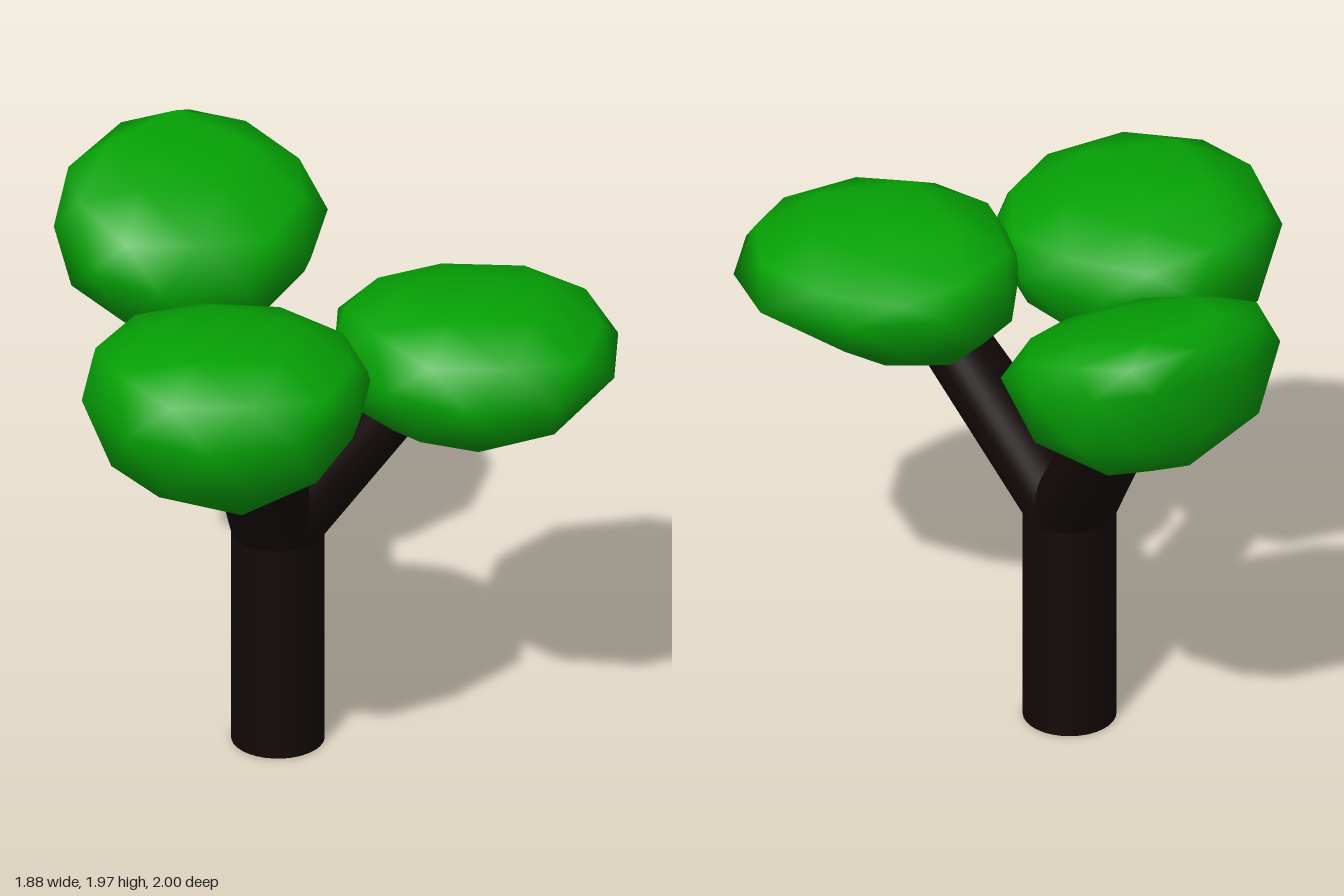
import * as THREE from 'three';
import { mergeVertices } from 'three/addons/utils/BufferGeometryUtils.js';

const bark = new THREE.MeshStandardMaterial({ color: 0x120907 });
const leaf = new THREE.MeshStandardMaterial({ color: 0x05a205 });
const TRUNK = { x: -0.065, z: 0.01, r: 0.16, top: 0.8 };

// Move every vertex by a rule, then rebuild smooth normals.
function warp(geometry, rule) {
  const pos = geometry.attributes.position;
  const v = new THREE.Vector3();
  for (let i = 0; i < pos.count; i++) {
    rule(v.fromBufferAttribute(pos, i));
    pos.setXYZ(i, v.x, v.y, v.z);
  }
  geometry.computeVertexNormals();
  return geometry;
}

// Slanted, tapering limb: flat ring on the trunk top, tilted ring at the tip.
function branchGeometry([ex, ey, ez]) {
  const g = new THREE.CylinderGeometry(TRUNK.r, TRUNK.r, 1, 32);
  g.deleteAttribute('uv');
  const dx = ex - TRUNK.x, dz = ez - TRUNK.z, len = Math.hypot(dx, dz);
  const ux = dx / len, uz = dz / len;
  return warp(mergeVertices(g), (p) => {
    const t = p.y + 0.5;
    const along = (p.x * ux + p.z * uz) * THREE.MathUtils.lerp(1, 0.62, t);
    const across = (p.z * ux - p.x * uz) * THREE.MathUtils.lerp(1, 0.85, t);
    p.set(
      TRUNK.x + t * dx + along * ux - across * uz,
      TRUNK.top + t * (ey - TRUNK.top) - t * along * 0.5,
      TRUNK.z + t * dz + along * uz + across * ux
    );
  });
}

// Squashed icosphere with a flattened crown and a deeper underside.
// crownTilt slopes the crown along x, rearDrop lowers its rear, crownLean
// shifts it along z; tiltZ slopes the whole clump along z; cut and lift trim
// the underside on the +x side, lean shifts the underside; tip draws out a
// point, shear and skew offset the outline.
function foliageGeometry({
  center, rx, rz, up, down, crownTilt = 0, rearDrop = 0, crownLean = 0, tiltZ = 0,
  cut = 0, lift = 0, lean = [0, 0], tip = 0, shear = 0, skew = 0,
}) {
  const g = new THREE.IcosahedronGeometry(1, 1);
  g.deleteAttribute('uv');
  g.deleteAttribute('normal');
  g.rotateZ(Math.atan2(2, 1 + Math.sqrt(5)));
  g.rotateY(Math.PI);
  return warp(mergeVertices(g, 1e-3), (p) => {
    const { x: u, y: v, z: w } = p;
    const high = Math.max(v, 0), low = Math.max(-v, 0);
    const side = Math.max(u, 0), rear = Math.max(-w, 0);
    const rise = up * Math.min(high / 0.8, 1) - down * low;
    const slope = (crownTilt * u - rearDrop * rear) * high;
    const outline = tip * side ** 3 * rear * (1 - Math.abs(v)) + shear * w + skew * rear ** 2 * (1 - Math.abs(u));
    p.set(
      center[0] + rx * u + outline + (lean[0] - cut * side) * low,
      center[1] + rise + slope + tiltZ * w + lift * side * low,
      center[2] + rz * w + crownLean * high ** 2 + lean[1] * low
    );
  });
}

export function createModel() {
  const tree = new THREE.Group();
  tree.name = 'tree';
  const add = (name, geometry, material) => {
    const mesh = new THREE.Mesh(geometry, material);
    mesh.name = name;
    tree.add(mesh);
    return mesh;
  };

  const trunk = add('trunk', new THREE.CylinderGeometry(TRUNK.r, TRUNK.r, TRUNK.top, 32), bark);
  trunk.position.set(TRUNK.x, TRUNK.top / 2, TRUNK.z);

  // Three limbs, each carrying one leaf clump
  const limbs = {
    right: {
      end: [-0.315, 1.31, 0.28],
      clump: {
        center: [-0.46, 1.62, 0.362], rx: 0.505, rz: 0.503, up: 0.205, down: 0.42,
        crownTilt: -0.06, rearDrop: 0.05, cut: 0.07, lift: 0.07,
      },
    },
    left: {
      end: [0.225, 1.36, 0.31],
      clump: {
        center: [0.435, 1.62, 0.5], rx: 0.48, rz: 0.498, up: 0.2, down: 0.335,
        crownTilt: -0.04, rearDrop: 0.14, tiltZ: -0.035,
        cut: 0.25, lean: [-0.05, -0.06], tip: 0.22, shear: 0.04,
      },
    },
    back: {
      end: [-0.065, 1.43, -0.46],
      clump: {
        center: [-0.065, 1.72, -0.6], rx: 0.49, rz: 0.4, up: 0.205, down: 0.38,
        crownTilt: -0.03, crownLean: -0.13, tiltZ: -0.1, lean: [0, -0.11], skew: 0.12,
      },
    },
  };
  for (const [side, { end, clump }] of Object.entries(limbs)) {
    add(`${side}Branch`, branchGeometry(end), bark);
    add(`${side}Foliage`, foliageGeometry(clump), leaf);
  }
  return tree;
}
